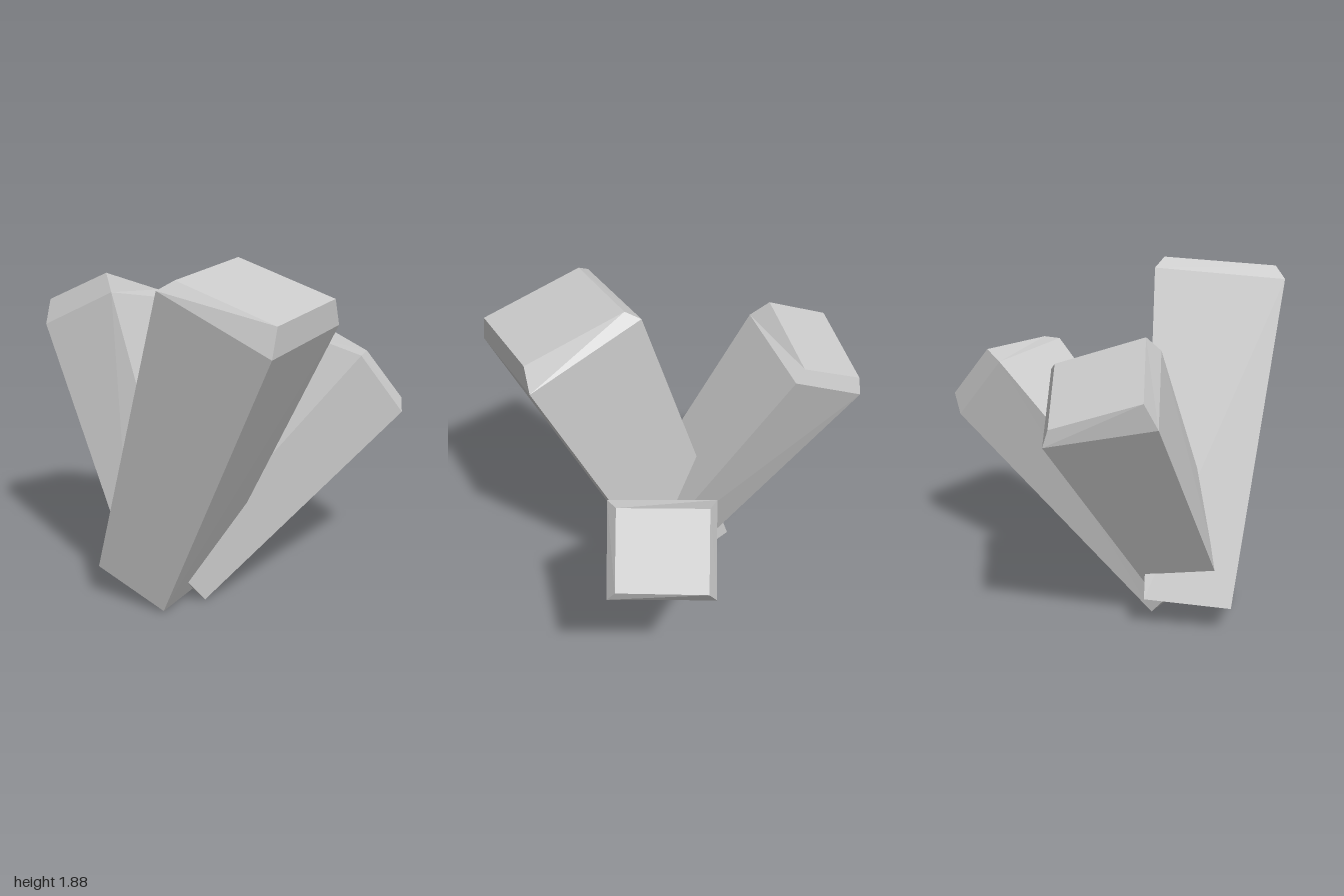
import * as THREE from 'three';

// A tapered four-sided crystal lofted through rings running from base to tip.
// Each ring gives three successive corners; the fourth completes a parallelogram.
function crystal(name, rings, material) {
  const loops = rings.map((ring) => {
    const [a, b, c] = ring.map((p) => new THREE.Vector3(...p));
    return [a, b, c, a.clone().add(c).sub(b)];
  });
  const points = [];
  const quad = (a, b, c, d) => points.push(a, b, c, a, c, d);

  // Long sides and bevelled shoulder
  for (let r = 0; r < loops.length - 1; r++) {
    for (let i = 0; i < 4; i++) {
      const j = (i + 1) % 4;
      quad(loops[r][i], loops[r][j], loops[r + 1][j], loops[r + 1][i]);
    }
  }
  // Flat ends
  quad(...loops[0].slice().reverse());
  quad(...loops[loops.length - 1]);

  const geometry = new THREE.BufferGeometry().setFromPoints(points);
  geometry.computeVertexNormals();
  const mesh = new THREE.Mesh(geometry, material);
  mesh.name = name;
  return mesh;
}

export function createModel() {
  const group = new THREE.Group();
  group.name = 'crystalCluster';
  const material = new THREE.MeshStandardMaterial({ color: 0xcccccc, flatShading: true });

  // Rings: base, shoulder, tip
  group.add(
    crystal('largeCrystal', [
      [[-0.77, 0.18, 0.05], [-0.44, 0.01, 0.31], [-0.15, 0.04, -0.04]],
      [[-0.47, 1.8, 0.57], [0.02, 1.54, 0.96], [0.45, 1.58, 0.45]],
      [[-0.38, 1.85, 0.58], [0.05, 1.69, 0.93], [0.42, 1.72, 0.49]],
    ], material),
    crystal('backCrystal', [
      [[-0.6, 0.17, 0.13], [-0.33, 0.32, 0.3], [-0.1, 0.24, 0.04]],
      [[-1.0, 1.41, -0.57], [-0.64, 1.63, -0.31], [-0.28, 1.51, -0.7]],
      [[-0.97, 1.54, -0.63], [-0.66, 1.72, -0.41], [-0.35, 1.56, -0.72]],
    ], material),
    crystal('sideCrystal', [
      [[-0.2, 0.0, 0.18], [-0.33, 0.01, -0.15], [-0.52, 0.26, -0.07]],
      [[0.99, 0.91, -0.21], [0.79, 0.92, -0.7], [0.51, 1.29, -0.58]],
      [[1.0, 0.98, -0.26], [0.87, 1.02, -0.69], [0.63, 1.33, -0.59]],
    ], material),
  );
  return group;
}
